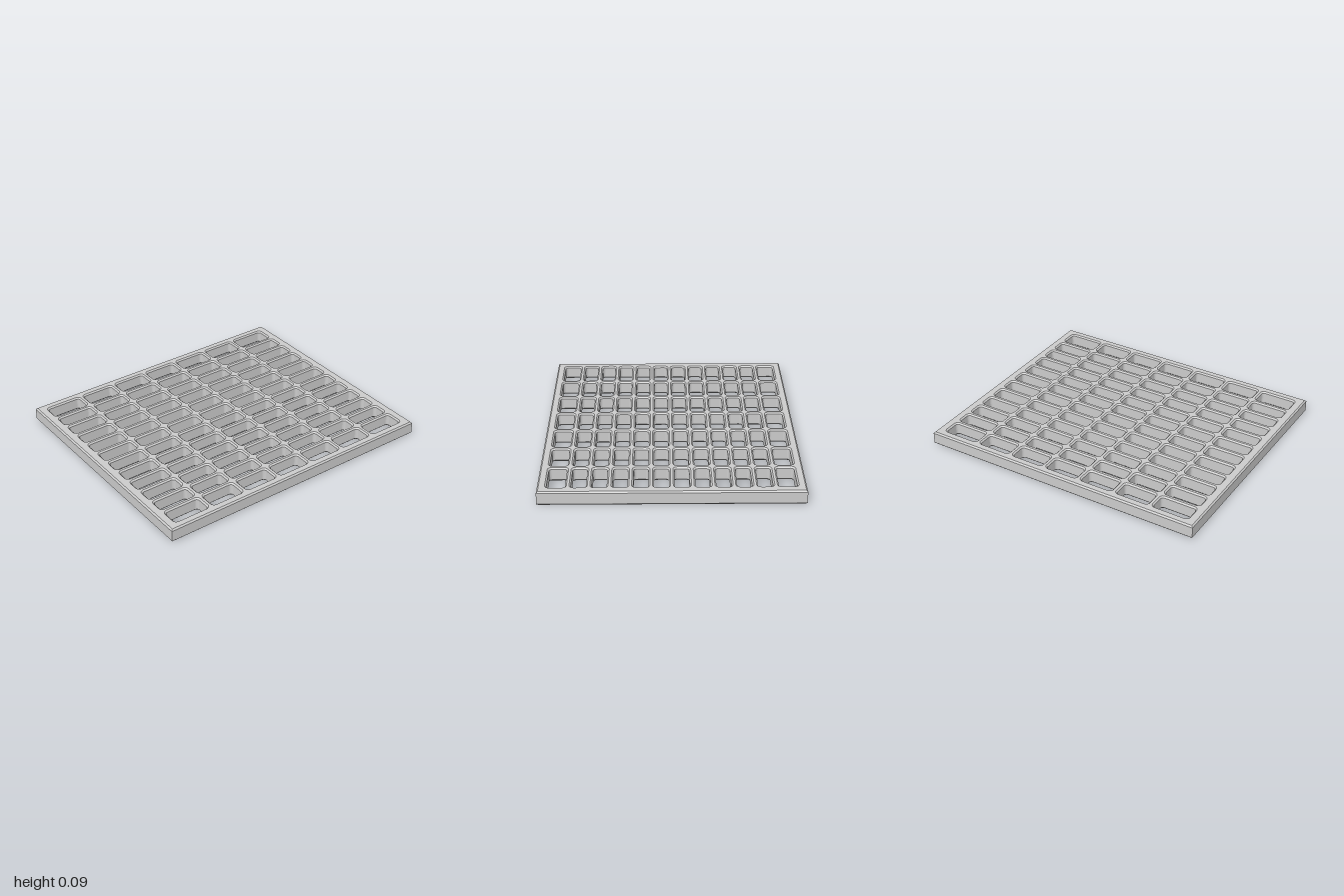
import * as THREE from 'three';

const HEIGHT = 0.095, BEVEL = 0.01;

// Traces a rectangle with rounded corners onto a path
function roundedRect(path, x0, y0, x1, y1, r) {
  path.moveTo(x0 + r, y0);
  path.lineTo(x1 - r, y0);
  path.absarc(x1 - r, y0 + r, r, -Math.PI / 2, 0);
  path.lineTo(x1, y1 - r);
  path.absarc(x1 - r, y1 - r, r, 0, Math.PI / 2);
  path.lineTo(x0 + r, y1);
  path.absarc(x0 + r, y1 - r, r, Math.PI / 2, Math.PI);
  path.lineTo(x0, y0 + r);
  path.absarc(x0 + r, y0 + r, r, Math.PI, Math.PI * 1.5);
  return path;
}

// Open spans between evenly pitched bars, closed off by the outer frame
function spans(count, pitch, bar, limit) {
  return Array.from({ length: count }, (_, i) => {
    const start = (i - count / 2) * pitch;
    return [
      i === 0 ? -limit : start + bar / 2,
      i === count - 1 ? limit : start + pitch - bar / 2,
    ];
  });
}

export function createModel() {
  const group = new THREE.Group();
  group.name = 'grate';

  // Outer frame outline
  const shape = new THREE.Shape();
  shape.moveTo(-1, -0.845);
  shape.lineTo(1, -0.845);
  shape.lineTo(1, 0.845);
  shape.lineTo(-1, 0.845);
  shape.closePath();

  // 7 x 12 rounded openings; the outer rows are slightly larger
  for (const [x0, x1] of spans(7, 0.267, 0.038, 0.935)) {
    for (const [z0, z1] of spans(12, 0.1304, 0.036, 0.787)) {
      shape.holes.push(roundedRect(new THREE.Path(), x0, z0, x1, z1, 0.02));
    }
  }

  // Slab with chamfered edges around the frame and every opening
  const geometry = new THREE.ExtrudeGeometry(shape, {
    depth: HEIGHT - 2 * BEVEL,
    bevelEnabled: true,
    bevelThickness: BEVEL,
    bevelSize: BEVEL,
    bevelOffset: -BEVEL,
    bevelSegments: 1,
    curveSegments: 4,
  });
  geometry.rotateX(-Math.PI / 2);
  geometry.translate(0, BEVEL, 0);

  const grid = new THREE.Mesh(geometry, new THREE.MeshStandardMaterial({ color: 0xcccccc }));
  grid.name = 'gridPanel';
  group.add(grid);
  return group;
}
